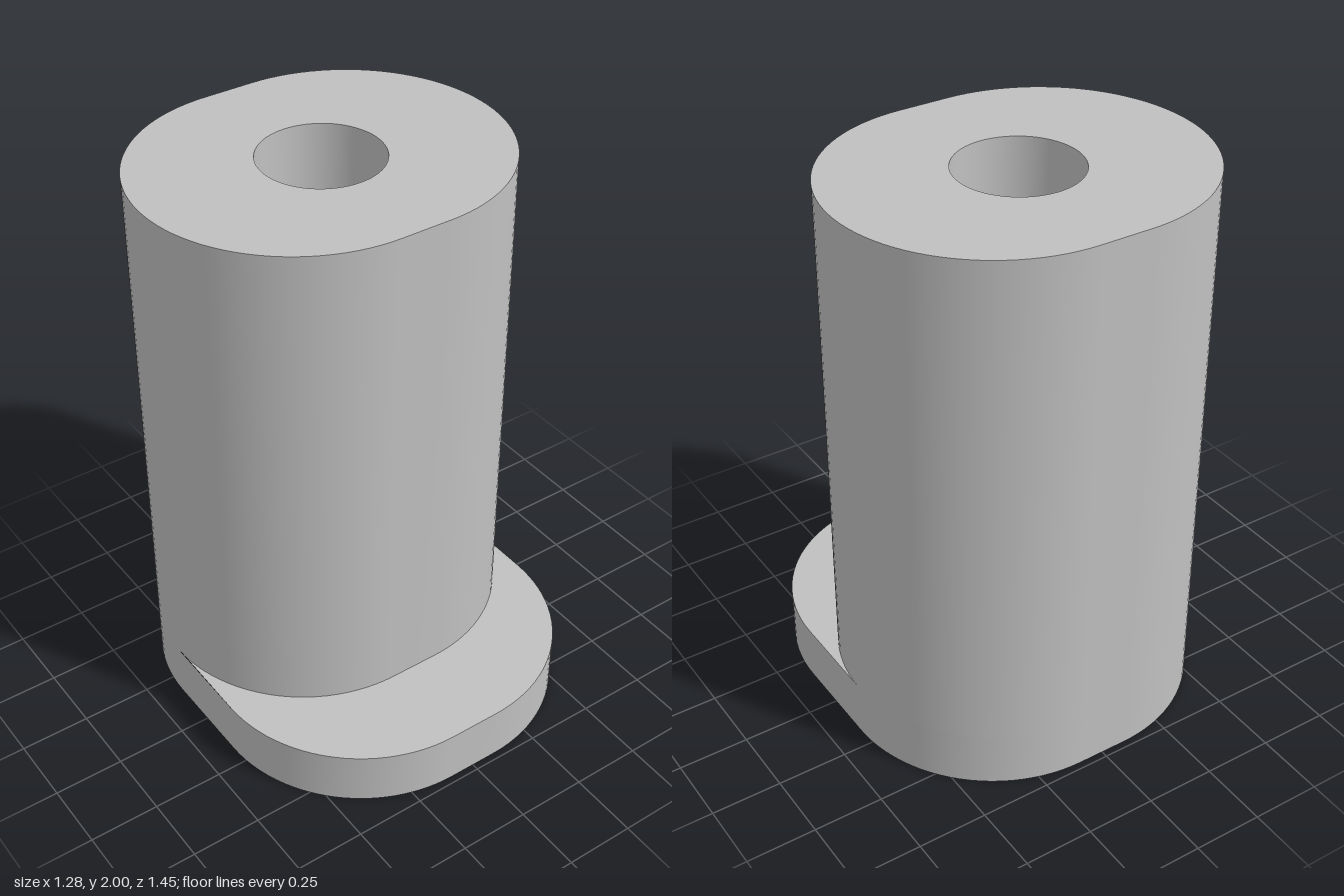
import * as THREE from 'three';

const R = 0.55;          // corner radius of the outlines
const F = 0.0925;        // half width of the flat between corners
const AXIS = 0.175;      // plan coordinate of the bore axis (plan y = -z)
const FLANGE = 0.2, STEP = 1.6, TOP = 2;
const SEG = 24;

function arc(cx, cy, r, a0, a1, n) {
  return Array.from({ length: n + 1 }, (_, i) => {
    const a = a0 + (a1 - a0) * i / n;
    return new THREE.Vector2(cx + r * Math.cos(a), cy + r * Math.sin(a));
  });
}

// Front half of an outline, running from left to right
const frontHalf = (cy) => [
  ...arc(-F, cy, R, Math.PI, 1.5 * Math.PI, SEG),
  ...arc(F, cy, R, 1.5 * Math.PI, 2 * Math.PI, SEG),
];

// Closed counter-clockwise outline without repeated points
function outline(frontY) {
  const pts = [
    ...frontHalf(frontY),
    ...arc(F, AXIS, R, 0, Math.PI / 2, SEG),
    ...arc(-F, AXIS, R, Math.PI / 2, Math.PI, SEG),
  ];
  return pts.filter((p, i) => p.distanceTo(pts[(i + 1) % pts.length]) > 1e-5);
}

const circle = (r) => arc(0, AXIS, r, 0, 2 * Math.PI, 64).slice(0, -1);

// Smooth upright wall along a closed loop; inward walls face the axis
function wall(loop, y0, y1, inward = false) {
  const pts = inward ? [...loop].reverse() : loop;
  const pos = [], index = [];
  pts.forEach((p, i) => {
    pos.push(p.x, y0, -p.y, p.x, y1, -p.y);
    const a = 2 * i, b = 2 * ((i + 1) % pts.length);
    index.push(a, b, b + 1, a, b + 1, a + 1);
  });
  const g = new THREE.BufferGeometry();
  g.setAttribute('position', new THREE.Float32BufferAttribute(pos, 3));
  g.setIndex(index);
  g.computeVertexNormals();
  return g;
}

// Flat face at a height, optionally pierced and facing down
function face(loop, y, hole = null, down = false) {
  const shape = new THREE.Shape(loop);
  if (hole) shape.holes.push(new THREE.Path(hole));
  const g = new THREE.ShapeGeometry(shape);
  g.rotateX(-Math.PI / 2).translate(0, y, 0);
  if (down) {
    g.index.array.reverse();
    g.computeVertexNormals();
  }
  return g;
}

export function createModel() {
  const model = new THREE.Group();
  model.name = 'flangedBushing';
  const grey = new THREE.MeshStandardMaterial({ color: 0xc0c0c0 });
  grey.name = 'light grey';

  const body = outline(AXIS), base = outline(-AXIS);
  const smallBore = circle(0.2125), largeBore = circle(0.4);
  // Ledge left uncovered in front of the body
  const ledge = [...frontHalf(-AXIS), ...frontHalf(AXIS).reverse().slice(0, -1)];

  const parts = {
    bodyWall: wall(body, FLANGE, TOP),
    bodyTop: face(body, TOP, smallBore),
    flangeWall: wall(base, 0, FLANGE),
    flangeLedge: face(ledge, FLANGE),
    flangeUnderside: face(base, 0, largeBore, true),
    smallBore: wall(smallBore, STEP, TOP, true),
    boreShoulder: face(largeBore, STEP, smallBore, true),
    largeBore: wall(largeBore, 0, STEP, true),
  };
  for (const [name, geometry] of Object.entries(parts)) {
    const mesh = new THREE.Mesh(geometry, grey);
    mesh.name = name;
    model.add(mesh);
  }
  return model;
}
